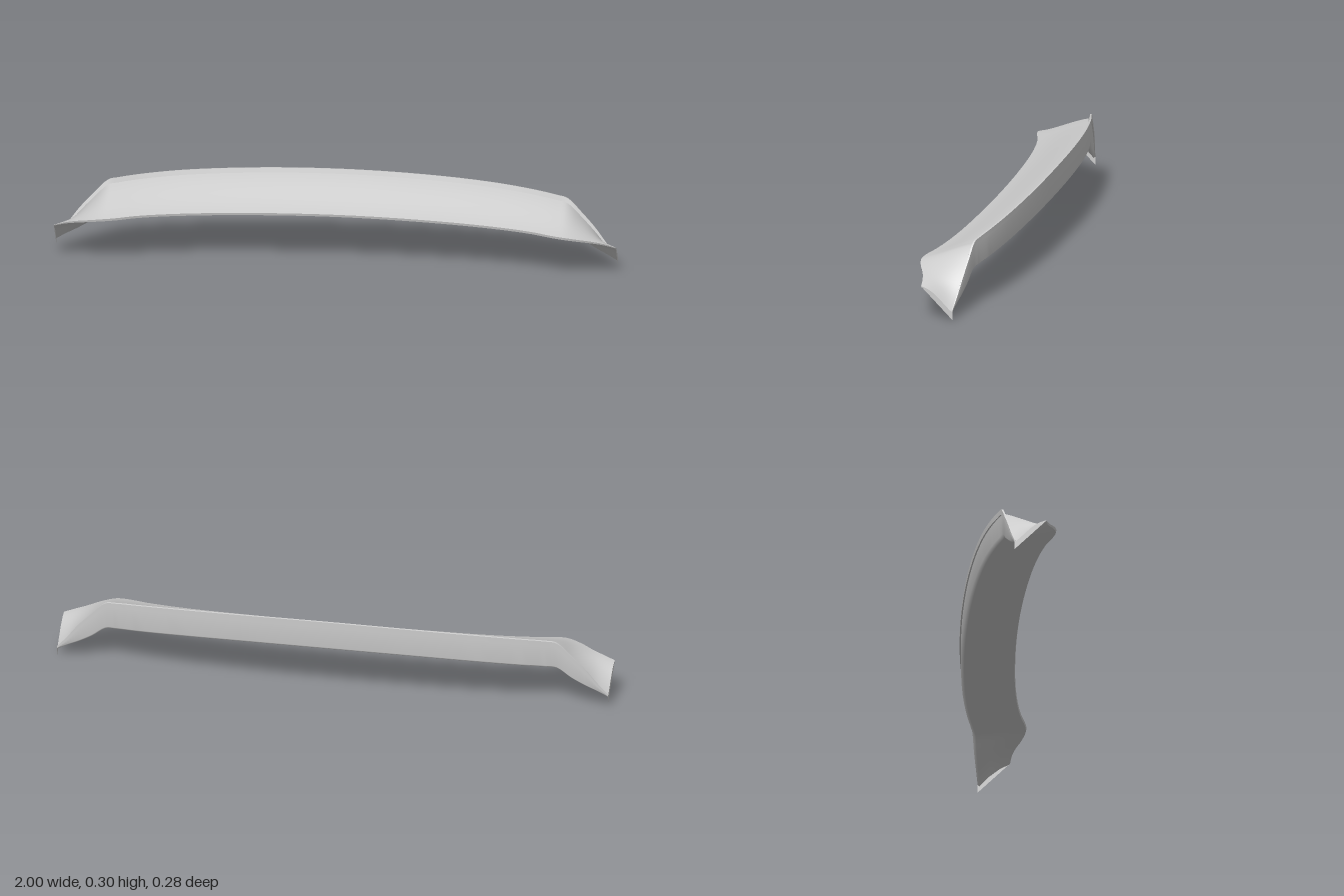
import * as THREE from 'three';

const material = new THREE.MeshStandardMaterial({ color: 0xcccccc, side: THREE.DoubleSide });
const TILT = 0.011; // slight lean from one end to the other

// Half-span stations: x, rear z, rear top y, front z, front y, rear bottom y, lip scale, bow
const half = [
  [0.0, -0.143, 0.297, 0.055, 0.197, 0.184, 1, 0],
  [0.3, -0.135, 0.292, 0.063, 0.194, 0.18, 1, 0],
  [0.55, -0.113, 0.281, 0.083, 0.188, 0.169, 1, 0],
  [0.7, -0.088, 0.269, 0.108, 0.183, 0.158, 1, 0],
  [0.78, -0.069, 0.26, 0.131, 0.179, 0.151, 1, 0],
  [0.82, -0.06, 0.252, 0.136, 0.176, 0.145, 1, 0],
  [0.87, -0.052, 0.203, 0.125, 0.166, 0.108, 0.9, 0.003],
  [0.92, -0.043, 0.148, 0.105, 0.153, 0.078, 0.8, 0.006],
  [0.96, -0.034, 0.095, 0.095, 0.142, 0.058, 0.6, 0.009],
  [1.0, -0.025, 0.048, 0.09, 0.128, 0.036, 0.35, 0.012],
];
const stations = [...half.slice(1).reverse().map(([x, ...r]) => [-x, ...r]), ...half];
const spline = new THREE.CubicInterpolant(
  stations.map((s) => s[0]), stations.flatMap((s) => s.slice(1)), 7);

// Cross-section at x, split into strips so the creases stay sharp; points are [z, y]
function section(x) {
  const [zr, yr, zf, yf, yb, s, bow] = spline.evaluate(x);
  const topZ = zr + 0.011 * s, topY = yr - 0.017 * s;
  const top = [];
  for (let i = 0; i <= 10; i++) {
    const t = i / 10;
    const ease = THREE.MathUtils.lerp(t, t * t * (3 - 2 * t), 0.35);
    top.push([
      THREE.MathUtils.lerp(zf, topZ, t),
      THREE.MathUtils.lerp(yf, topY, ease) + bow * Math.sin(Math.PI * t),
    ]);
  }
  const wallZ = zr + 0.005 * s, wallTop = yr - 0.021 * s;
  const frontLow = [zf - 0.002, yf - 0.009 * s];
  const heel = [wallZ + 0.012 * s, yb];
  const under = [0.33, 0.67].map((t) => [
    THREE.MathUtils.lerp(heel[0], frontLow[0], t),
    THREE.MathUtils.lerp(heel[1], frontLow[1], t) + bow * 0.8,
  ]);
  return {
    topSurface: top,
    lipStep: [[topZ, topY], [zr + 0.006 * s, yr]],
    lipTop: [[zr + 0.006 * s, yr], [zr, yr - 0.001]],
    lipBack: [[zr, yr - 0.001], [zr, wallTop]],
    lipUnderside: [[zr, wallTop], [wallZ, wallTop]],
    rearWallAndUnderside: [[wallZ, wallTop], [wallZ, yb + 0.01 * s], heel, ...under, frontLow],
    frontEdge: [frontLow, [zf, yf]],
  };
}

// Sweep one strip of the section along the span
function loft(xs, rows, name) {
  const n = rows[0].length;
  const positions = [], index = [];
  rows.forEach((row, i) => row.forEach(([z, y], j) => {
    positions.push(xs[i], y - TILT * xs[i], z);
    if (i < rows.length - 1 && j < n - 1) {
      const a = i * n + j, b = a + n;
      index.push(a, b, a + 1, b, b + 1, a + 1);
    }
  }));
  const geometry = new THREE.BufferGeometry();
  geometry.setAttribute('position', new THREE.Float32BufferAttribute(positions, 3));
  geometry.setIndex(index);
  geometry.computeVertexNormals();
  const mesh = new THREE.Mesh(geometry, material);
  mesh.name = name;
  return mesh;
}

// Thin triangular tab closing each end and hanging below its rear corner
function endTab(side) {
  const profile = section(side).topSurface.map(([z, y]) => new THREE.Vector2(-z, y));
  const shape = new THREE.Shape([...profile, new THREE.Vector2(0.025, 0.045), new THREE.Vector2(0.025, 0.0115)]);
  const mesh = new THREE.Mesh(new THREE.ShapeGeometry(shape), material);
  mesh.rotation.y = Math.PI / 2;
  mesh.position.set(side, -TILT * side, 0);
  mesh.name = side > 0 ? 'leftEndTab' : 'rightEndTab';
  return mesh;
}

export function createModel() {
  const group = new THREE.Group();
  group.name = 'rearSpoiler';

  // Rows along the span, several between each pair of stations
  const xs = [];
  for (let i = 0; i < stations.length - 1; i++) {
    for (let k = 0; k < 4; k++) xs.push(THREE.MathUtils.lerp(stations[i][0], stations[i + 1][0], k / 4));
  }
  xs.push(1);

  const sections = xs.map(section);
  for (const name of Object.keys(sections[0])) {
    group.add(loft(xs, sections.map((s) => s[name]), name));
  }
  group.add(endTab(1), endTab(-1));
  return group;
}
